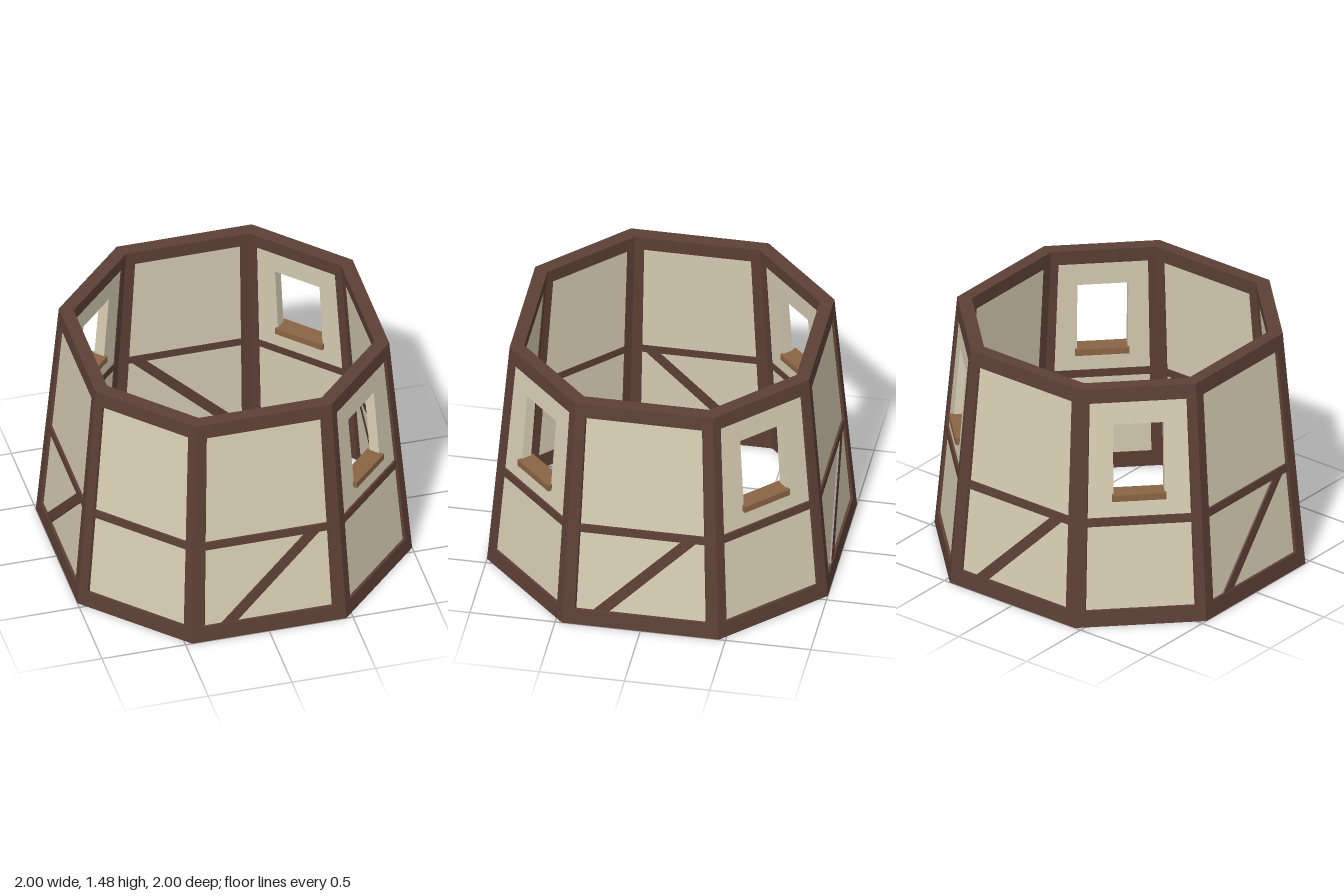
import * as THREE from 'three';

const HEIGHT = 1.48, TAPER = 0.122, WALL = 0.09;
const STILE = 0.845; // where the corner posts begin, as a share of half a face
const taper = (y) => 1 - TAPER * y / HEIGHT;

const mat = (name, color) => {
  const m = new THREE.MeshStandardMaterial({ color });
  m.name = name;
  return m;
};

export function createModel() {
  const timber = mat('dark timber', 0x5d4036);
  const plaster = mat('cream plaster', 0xd9cfb5);
  const sillWood = mat('sill wood', 0x8b6444);

  const model = new THREE.Group();
  model.name = 'timberFramedTower';

  // Slab on a leaning wall: outline in (x, y), depth 0 = outer skin, 1 = inner skin
  function slab(name, material, face, points, d0, d1, { hole, mitre = false } = {}) {
    const shape = new THREE.Shape(points.map(([x, y]) => new THREE.Vector2(x, y)));
    if (hole) shape.holes.push(new THREE.Path(hole.map(([x, y]) => new THREE.Vector2(x, y))));
    let geo = new THREE.ExtrudeGeometry(shape, { depth: 1, bevelEnabled: false });
    const p = geo.attributes.position;
    for (let i = 0; i < p.count; i++) {
      const y = p.getY(i);
      const inward = 1 - WALL * (d0 + (1 - p.getZ(i)) * (d1 - d0));
      p.setXYZ(i, p.getX(i) * (mitre ? inward : 1), y, face.dist * taper(y) * inward);
    }
    if (geo.index) geo = geo.toNonIndexed();
    geo.computeVertexNormals();
    const mesh = new THREE.Mesh(geo, material);
    mesh.name = name;
    face.group.add(mesh);
  }

  // Outline between two heights, running from share u0 to u1 of half the face
  const band = (half, u0, u1, y0, y1) => [
    [u0 * half * taper(y0), y0], [u1 * half * taper(y0), y0],
    [u1 * half * taper(y1), y1], [u0 * half * taper(y1), y1],
  ];

  for (let k = 0; k < 8; k++) {
    const diagonal = k % 2 === 1;
    const hasWindow = diagonal && k !== 7;
    const half = diagonal ? 0.54 / Math.SQRT2 : 0.46;
    const face = { group: new THREE.Group(), dist: diagonal ? 1.46 / Math.SQRT2 : 1 };
    face.group.name = hasWindow ? 'windowWall' : diagonal ? 'plainWall' : 'bracedWall';
    face.group.rotation.y = k * Math.PI / 4;
    model.add(face.group);

    // Mitred beams and the two post halves that meet the neighbouring walls
    const mitre = { mitre: true };
    slab('bottomBeam', timber, face, band(half, -1, 1, 0, 0.1), 0, 1, mitre);
    slab('topBeam', timber, face, band(half, -1, 1, 1.39, HEIGHT), 0, 1, mitre);
    slab('leftPost', timber, face, band(half, STILE, 1, 0.1, 1.39), 0, 1, mitre);
    slab('rightPost', timber, face, band(half, -1, -STILE, 0.1, 1.39), 0, 1, mitre);
    slab('middleRail', timber, face, band(half, -0.87, 0.87, 0.62, 0.67), 0.04, 0.97);

    // Plaster infill, with an opening where there is a window
    const hole = hasWindow
      ? [[-0.148, 0.81], [-0.148, 1.245], [0.148, 1.245], [0.148, 0.81]] : null;
    slab('plasterPanel', plaster, face, band(half, -0.87, 0.87, 0.09, 1.4), 0.18, 0.92, { hole });

    if (hasWindow) {
      const sill = new THREE.Mesh(new THREE.BoxGeometry(0.315, 0.04, 0.108), sillWood);
      sill.name = 'windowSill';
      sill.position.set(0, 0.795, 0.92);
      face.group.add(sill);
    }
    if (!diagonal) {
      slab('diagonalBrace', timber, face,
        [[-0.28, 0.1], [-0.19, 0.1], [0.32, 0.625], [0.235, 0.625]], 0.06, 0.95);
    }
  }
  return model;
}
